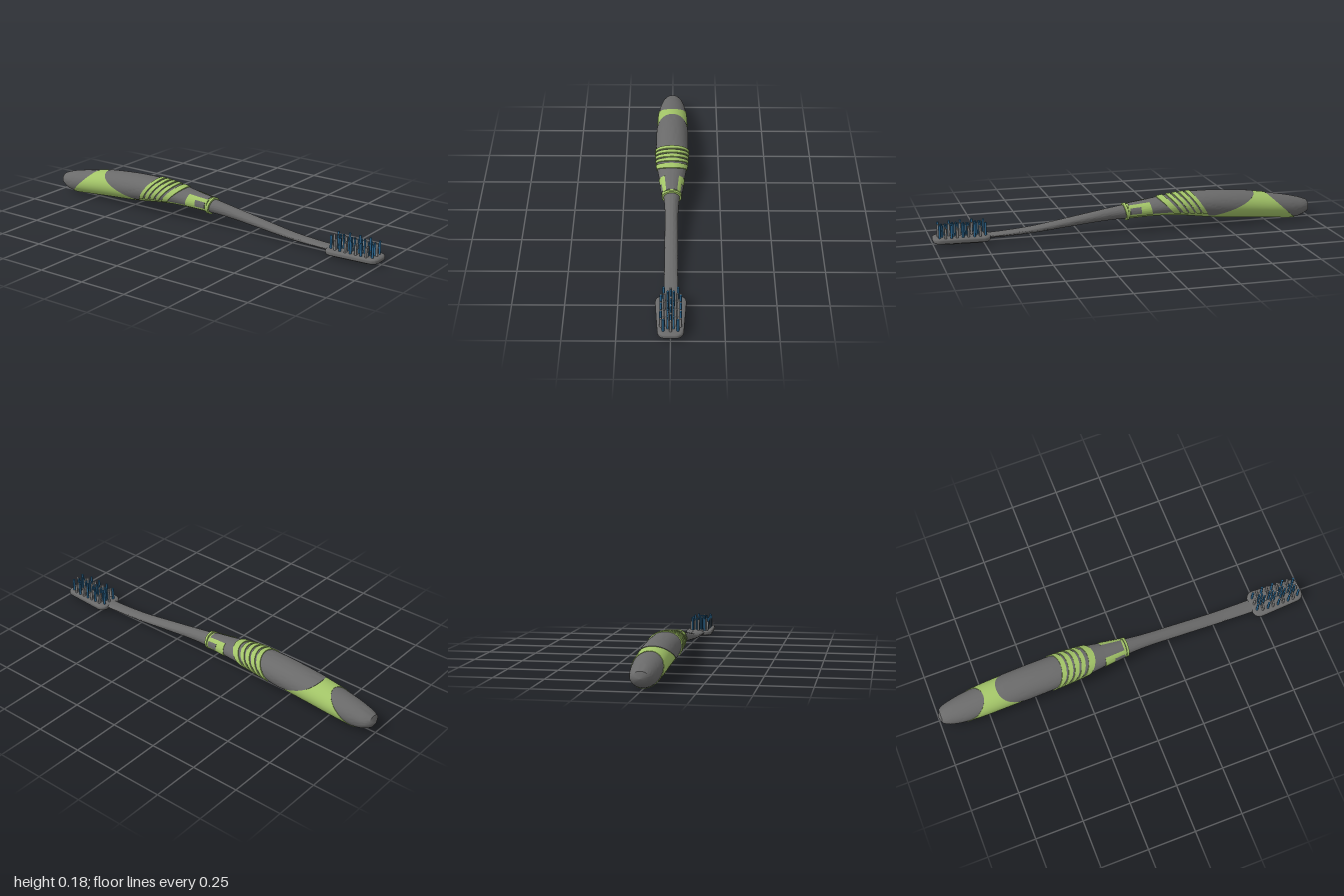
import * as THREE from 'three';
import { mergeVertices, toCreasedNormals } from 'three/addons/utils/BufferGeometryUtils.js';

const grey = new THREE.MeshStandardMaterial({ color: 0x6a6a6a, side: THREE.DoubleSide });
const green = new THREE.MeshStandardMaterial({ color: 0xa3c568, side: THREE.DoubleSide });
const blue = new THREE.MeshStandardMaterial({ color: 0x2f6d99 });
const pale = new THREE.MeshStandardMaterial({ color: 0x8c8c8c });

// Handle profile: x, top y, bottom y, half width
const profile = [
  [-1, 0.06, 0.06, 0], [-0.994, 0.082, 0.042, 0.024], [-0.975, 0.096, 0.027, 0.044],
  [-0.92, 0.114, 0.006, 0.063], [-0.8, 0.138, 0.012, 0.077], [-0.65, 0.16, 0.024, 0.081],
  [-0.45, 0.174, 0.04, 0.082], [-0.3, 0.173, 0.06, 0.079], [-0.2, 0.163, 0.068, 0.071],
  [-0.1, 0.148, 0.068, 0.057], [0, 0.136, 0.063, 0.043], [0.1, 0.121, 0.059, 0.035],
  [0.3, 0.088, 0.042, 0.033], [0.5, 0.056, 0.023, 0.033], [0.65, 0.042, 0.017, 0.034],
  [0.76, 0.036, 0.016, 0.036],
];
const section = new THREE.CubicInterpolant(
  profile.map((p) => p[0]), profile.flatMap((p) => p.slice(1)), 3);

function onHandle(x, t, off) {
  const [top, bottom, w] = section.evaluate(x);
  return [x, (top + bottom) / 2 + ((top - bottom) / 2 + off) * Math.sin(t), (w + off) * Math.cos(t)];
}

// A sheet wrapped on the handle between two edges x(s), s = -1 at the bottom to 1 at the top
function wrap(name, material, from, to, off, t0, t1, nx, nt = 40) {
  const pos = [], index = [];
  const rows = Array.from({ length: nx + 1 }, (_, i) => [i / nx, off]);
  if (off) { // short walls close the raised ends
    rows.unshift([0, -0.001]);
    rows.push([1, -0.001]);
  }
  rows.forEach(([u, h], i) => {
    for (let j = 0; j <= nt; j++) {
      const t = t0 + (t1 - t0) * j / nt, s = Math.sin(t);
      const a = from(s), b = Math.max(to(s), a);
      pos.push(...onHandle(a + (b - a) * u, t, h));
      if (i && j) {
        const d = i * (nt + 1) + j, c = d - 1, b1 = d - nt - 1, a1 = b1 - 1;
        index.push(a1, c, d, a1, d, b1);
      }
    }
  });
  const g = new THREE.BufferGeometry();
  g.setAttribute('position', new THREE.Float32BufferAttribute(pos, 3));
  g.setIndex(index);
  const mesh = new THREE.Mesh(toCreasedNormals(mergeVertices(g, 1e-5), 0.7), material);
  mesh.name = name;
  return mesh;
}

// Flat rounded plate lying in the xz plane, narrower at the tip
function plate(name, x0, x1, w0, w1, y0, y1, bevel) {
  const r = 0.035, s = new THREE.Shape();
  const a = x0 + bevel, b = x1 - bevel, p = w0 - bevel, q = w1 - bevel;
  s.moveTo(a, -p + r);
  s.quadraticCurveTo(a, -p, a + r, -p);
  s.lineTo(b - r, -q);
  s.quadraticCurveTo(b, -q, b, -q + r);
  s.lineTo(b, q - r);
  s.quadraticCurveTo(b, q, b - r, q);
  s.lineTo(a + r, p);
  s.quadraticCurveTo(a, p, a, p - r);
  const g = new THREE.ExtrudeGeometry(s, {
    depth: y1 - y0 - 2 * bevel, bevelSize: bevel, bevelThickness: bevel, bevelSegments: 3, curveSegments: 8,
  });
  g.rotateX(-Math.PI / 2).translate(0, y0 + bevel, 0);
  const mesh = new THREE.Mesh(toCreasedNormals(g, 0.6), grey);
  mesh.name = name;
  return mesh;
}

export function createModel() {
  const root = new THREE.Group();
  root.name = 'toothbrush';
  const at = (x) => () => x;
  const slant = (x) => (s) => x - 0.05 * (1 - s);
  const low = -Math.PI / 2, full = [low, low + 2 * Math.PI];
  const above = (s) => [Math.asin(s), Math.PI - Math.asin(s)];

  // Handle core and the soft green grip wrapped on it
  root.add(wrap('handle', grey, at(-1), at(0.76), 0, ...full, 110));
  root.add(wrap('softGrip', green, (s) => -0.835 + 0.085 * s, at(0.01), 0.002, ...full, 60));

  // Hard grey panels showing through the grip
  const panelStart = (s) => -0.68 + 0.06 * (1 - s) + 0.045 * (1 - s) ** 2;
  root.add(wrap('thumbPanel', grey, panelStart, slant(-0.335), 0.004, ...above(-0.7), 24));
  root.add(wrap('ribbedPanel', grey, slant(-0.337), at(0), 0.004, ...above(-0.45), 24));

  // Slanted grip ribs
  [[-0.335, 0.024], [-0.3, 0.024], [-0.265, 0.024], [-0.23, 0.022], [-0.19, 0.035]].forEach(([x, w]) => {
    root.add(wrap('gripRib', green, slant(x), slant(x + w), 0.009, ...above(-0.5), 3));
  });

  // Side frames with grey windows, mirrored front to back
  const a = Math.asin(-0.5), b = Math.asin(0.82);
  const c = Math.asin(-0.2), d = Math.asin(0.5);
  [[a, b, c, d], [Math.PI - b, Math.PI - a, Math.PI - d, Math.PI - c]].forEach(([p, q, m, n]) => {
    root.add(wrap('sideFrame', green, (s) => -0.115 + 0.01 * s, at(0.005), 0.007, p, q, 6, 14));
    root.add(wrap('sideWindow', grey, at(-0.06), at(-0.004), 0.009, m, n, 4, 8));
  });
  root.add(wrap('collar', green, (s) => 0.005 + 0.008 * s, (s) => 0.018 + 0.008 * s, 0.009, ...full, 2));

  // Head with a pad on its underside
  root.add(plate('head', 0.715, 1, 0.074, 0.062, 0.012, 0.038, 0.01));
  root.add(plate('headPad', 0.74, 0.965, 0.058, 0.05, 0.007, 0.02, 0.003));

  // Bristles: blue rings down the middle, mixed rows along the edges
  const bristles = new THREE.Group();
  bristles.name = 'bristles';
  const bristle = (x, z, top, r, material) => {
    const m = new THREE.Mesh(new THREE.CylinderGeometry(r, r, top - 0.034, 8), material);
    m.position.set(x, (top + 0.034) / 2, z);
    m.name = 'bristle';
    bristles.add(m);
  };
  [0.775, 0.835, 0.89, 0.945].forEach((x, k) => {
    for (let i = 0; i < 6; i++) {
      const t = i * Math.PI / 3;
      bristle(x + 0.016 * Math.cos(t), 0.016 * Math.sin(t), k % 2 ? 0.098 : 0.103, 0.005, blue);
    }
  });
  for (const side of [-1, 1]) {
    for (let i = 0; i < 9; i++) {
      const x = 0.74 + i * 0.0285;
      const z = side * (i === 0 || i === 8 ? 0.034 : 0.046);
      bristle(x, z, i % 2 ? 0.086 : 0.104, 0.006, i % 2 ? pale : blue);
      if (i % 2) bristle(x, side * 0.03, 0.09, 0.005, pale);
    }
  }
  for (const x of [0.738, 0.805, 0.863, 0.918, 0.972]) bristle(x, 0, 0.1, 0.006, pale);
  root.add(bristles);
  return root;
}
